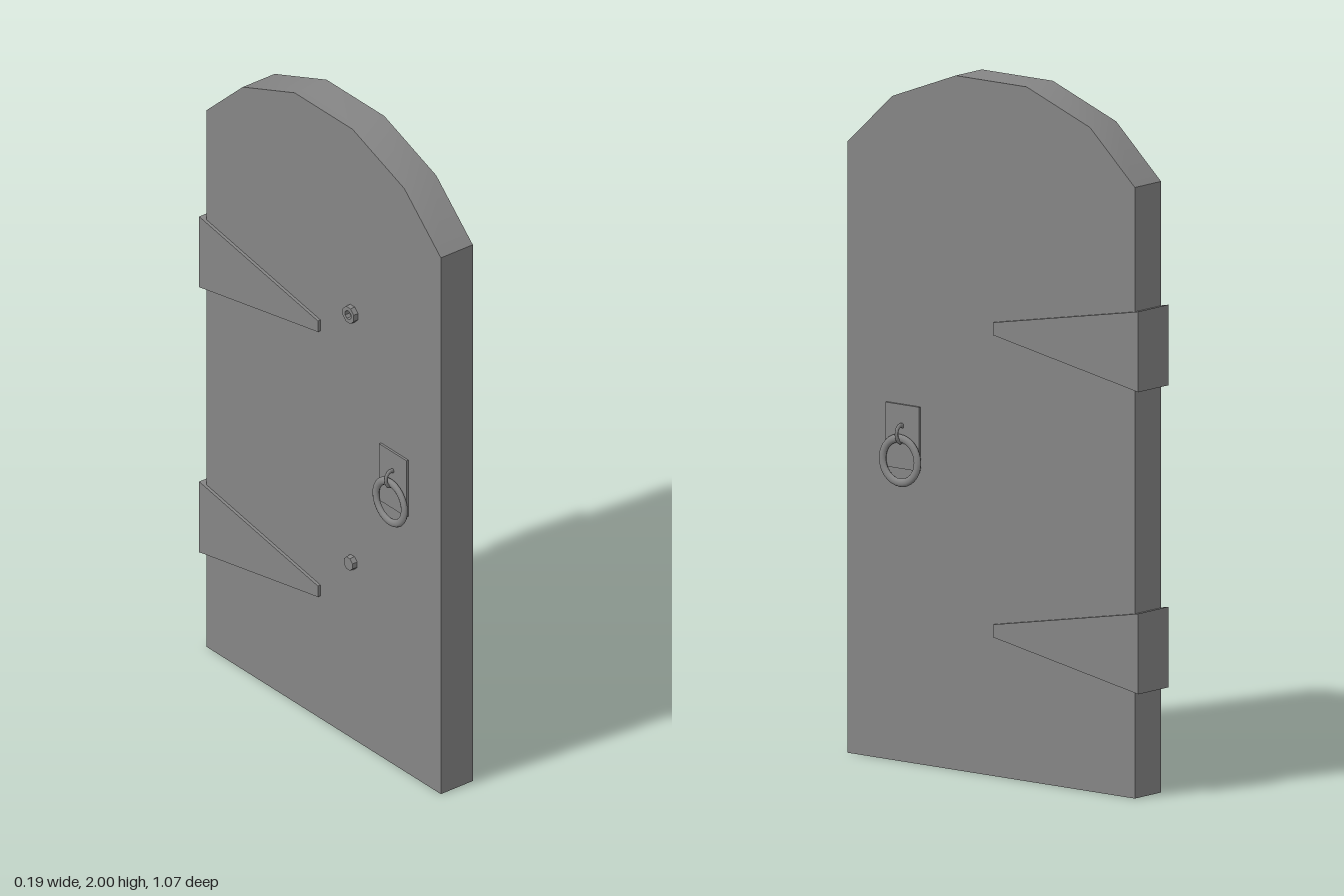
import * as THREE from 'three';
import { toCreasedNormals } from 'three/addons/utils/BufferGeometryUtils.js';

const material = new THREE.MeshStandardMaterial({ color: 0x868686 });

// Extrude a [z, y] outline across x, centred on x = 0
function slab(outline, thickness) {
  const shape = new THREE.Shape(outline.map(([z, y]) => new THREE.Vector2(-z, y)));
  const g = new THREE.ExtrudeGeometry(shape, { depth: thickness, bevelEnabled: false });
  g.translate(0, 0, -thickness / 2).rotateY(Math.PI / 2);
  return toCreasedNormals(g, 0.6);
}

// Flat-sided, eight-sided turned fitting from a [radius, height] profile, pointing along -x
function fitting(profile) {
  const points = profile.map(([r, h]) => new THREE.Vector2(r, h));
  const g = new THREE.LatheGeometry(points, 8, Math.PI / 8);
  g.rotateZ(Math.PI / 2);
  return toCreasedNormals(g, 0.6);
}

function add(parent, name, geometry, x = 0, y = 0, z = 0) {
  const mesh = new THREE.Mesh(geometry, material);
  mesh.name = name;
  mesh.position.set(x, y, z);
  parent.add(mesh);
  return mesh;
}

export function createModel() {
  const door = new THREE.Group();
  door.name = 'door';

  // Thick panel with a faceted arched top
  add(door, 'panel', slab([
    [0.537, 0], [0.537, 1.76], [0.373, 1.912], [0.14, 2],
    [-0.12, 2], [-0.353, 1.912], [-0.517, 1.76], [-0.517, 0],
  ], 0.116));

  // Tapered strap hinges wrapping round the hinge edge
  for (const y of [0.42, 1.29]) {
    add(door, 'strapHinge', slab([
      [-0.004, -0.018], [-0.004, 0.018], [-0.517, 0.112],
      [-0.537, 0.116], [-0.537, -0.116], [-0.517, -0.112],
    ], 0.135), 0, y);
  }

  // Ring handle on each face: back plate, staple and hanging ring
  for (const side of [-1, 1]) {
    const handle = new THREE.Group();
    handle.name = side > 0 ? 'leftHandle' : 'rightHandle';
    add(handle, 'backPlate', new THREE.BoxGeometry(0.016, 0.185, 0.123), side * 0.057, 0.937, 0.33);
    const staple = add(handle, 'staple', new THREE.TorusGeometry(0.018, 0.005, 8, 20), side * 0.073, 0.947, 0.33);
    staple.scale.y = 1.35;
    const ring = add(handle, 'ring', new THREE.TorusGeometry(0.064, 0.012, 10, 32), side * 0.075, 0.87, 0.33);
    ring.rotation.y = Math.PI / 2;
    ring.scale.z = 0.65;
    door.add(handle);
  }

  // Small collar and stud on the right face
  add(door, 'collar', fitting([[0.027, 0], [0.027, 0.018], [0.014, 0.018], [0.014, 0]]), -0.056, 1.396, 0.14);
  add(door, 'stud', fitting([[0.023, 0], [0.021, 0.018], [0, 0.018]]), -0.056, 0.58, 0.14);

  return door;
}
